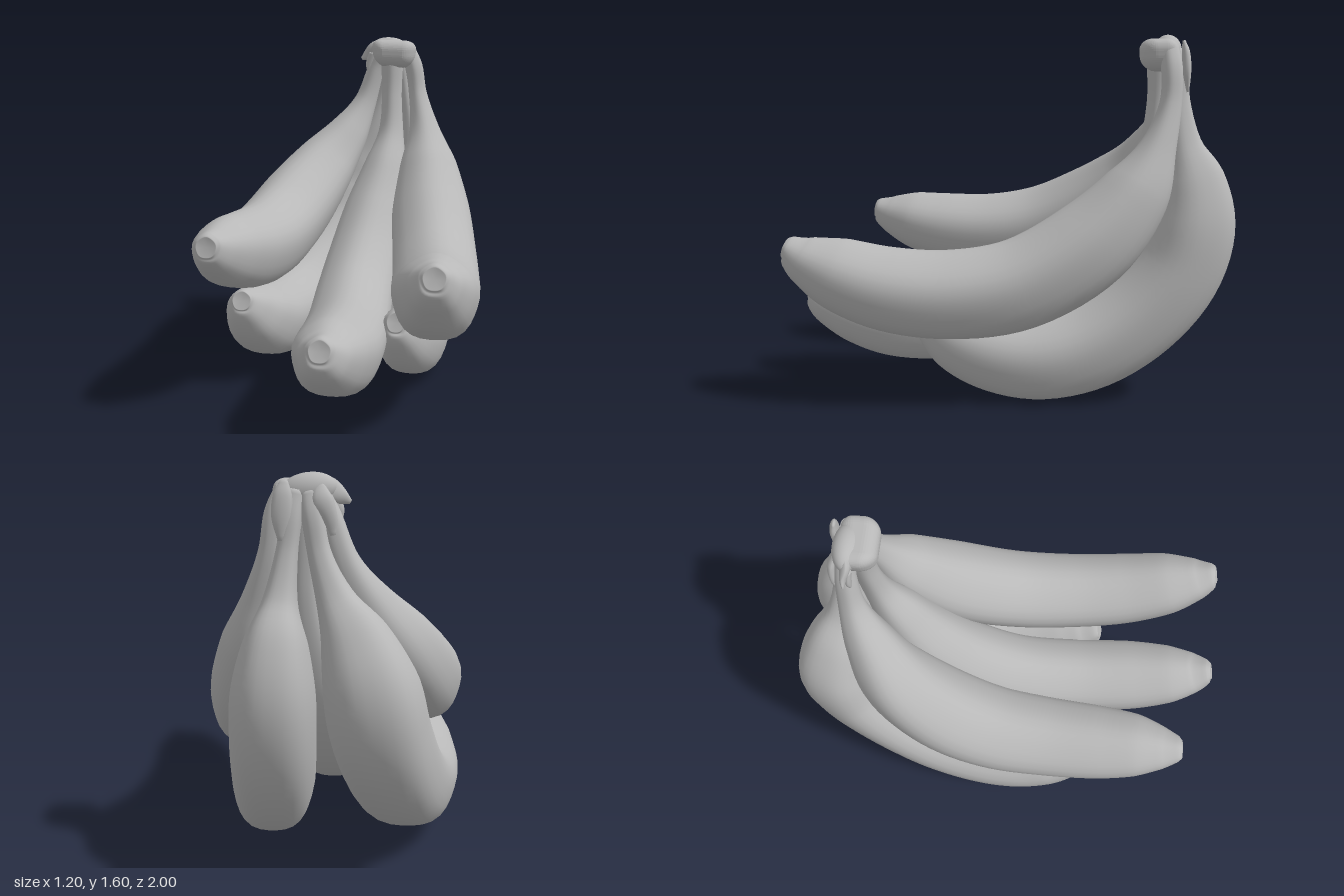
import * as THREE from 'three';
import { RoundedBoxGeometry } from 'three/addons/geometries/RoundedBoxGeometry.js';

// Tube through stations [x, y, z, radius], with a softly five-sided section.
function loft(stations, { rings = 72, sides = 30, ridge = 0.025, dent = 0, wide = 1, flat = 1 } = {}) {
  const path = new THREE.CatmullRomCurve3(stations.map(s => new THREE.Vector3(s[0], s[1], s[2])));
  const radii = new THREE.CatmullRomCurve3(stations.map((s, i) => new THREE.Vector3(s[3], i * 0.15, 0)));
  const pos = [], index = [];
  const xAxis = new THREE.Vector3(1, 0, 0);
  for (let i = 0; i <= rings; i++) {
    const t = i / rings;
    const c = path.getPoint(t), T = path.getTangent(t);
    const side = xAxis.clone().addScaledVector(T, -T.x).normalize();
    const up = T.clone().cross(side);
    const r = radii.getPoint(t).x;
    for (let j = 0; j < sides; j++) {
      const a = (j / sides) * Math.PI * 2;
      const k = r * (1 + ridge * Math.cos(5 * (a + Math.PI / 2)));
      const p = c.clone().addScaledVector(side, Math.cos(a) * k * wide).addScaledVector(up, Math.sin(a) * k * flat);
      pos.push(p.x, p.y, p.z);
    }
  }
  for (let i = 0; i < rings; i++) {
    for (let j = 0; j < sides; j++) {
      const n = (j + 1) % sides;
      const a = i * sides + j, b = i * sides + n;
      index.push(a, b, a + sides, b, b + sides, a + sides);
    }
  }
  // end caps, the first one slightly dented
  const start = path.getPoint(0).addScaledVector(path.getTangent(0), dent);
  const end = path.getPoint(1);
  pos.push(start.x, start.y, start.z, end.x, end.y, end.z);
  const s = (rings + 1) * sides, last = rings * sides;
  for (let j = 0; j < sides; j++) {
    const n = (j + 1) % sides;
    index.push(s, n, j, s + 1, last + j, last + n);
  }
  const g = new THREE.BufferGeometry();
  g.setAttribute('position', new THREE.Float32BufferAttribute(pos, 3));
  g.setIndex(index);
  g.computeVertexNormals();
  return g;
}

// Each fruit from blossom tip to stem
const fruits = {
  upperLeftBanana: [
    [0.45, 0.69, 0.96, 0.04], [0.45, 0.685, 0.945, 0.06], [0.445, 0.645, 0.88, 0.102], [0.435, 0.582, 0.74, 0.154],
    [0.42, 0.512, 0.52, 0.18], [0.40, 0.488, 0.25, 0.19], [0.37, 0.535, -0.05, 0.196], [0.325, 0.71, -0.35, 0.192],
    [0.29, 0.93, -0.54, 0.147], [0.26, 1.12, -0.63, 0.078], [0.22, 1.3, -0.68, 0.048], [0.195, 1.45, -0.685, 0.046],
    [0.16, 1.54, -0.675, 0.04]],
  upperRightBanana: [
    [-0.455, 0.735, 0.785, 0.04], [-0.455, 0.733, 0.77, 0.058], [-0.45, 0.71, 0.7, 0.098], [-0.44, 0.682, 0.58, 0.144],
    [-0.43, 0.65, 0.4, 0.17], [-0.415, 0.638, 0.15, 0.184], [-0.395, 0.675, -0.1, 0.193], [-0.345, 0.775, -0.33, 0.192],
    [-0.26, 0.92, -0.52, 0.165], [-0.15, 1.09, -0.63, 0.11], [-0.065, 1.26, -0.685, 0.06], [-0.01, 1.43, -0.69, 0.045],
    [0.03, 1.53, -0.68, 0.04]],
  middleBanana: [
    [0.04, 0.41, 0.99, 0.04], [0.04, 0.405, 0.975, 0.06], [0.04, 0.365, 0.91, 0.105], [0.035, 0.325, 0.79, 0.15],
    [0.03, 0.278, 0.58, 0.18], [0.015, 0.275, 0.3, 0.184], [-0.005, 0.35, 0.0, 0.183], [0.005, 0.5, -0.25, 0.178],
    [0.03, 0.7, -0.43, 0.158], [0.065, 0.92, -0.545, 0.112], [0.085, 1.1, -0.615, 0.066], [0.085, 1.3, -0.64, 0.052],
    [0.085, 1.5, -0.645, 0.06]],
  lowerLeftBanana: [
    [0.245, 0.36, 0.415, 0.04], [0.245, 0.355, 0.4, 0.056], [0.255, 0.315, 0.35, 0.1], [0.27, 0.255, 0.25, 0.145],
    [0.28, 0.2, 0.09, 0.172], [0.275, 0.18, -0.12, 0.188], [0.255, 0.234, -0.35, 0.194], [0.232, 0.375, -0.57, 0.194],
    [0.217, 0.57, -0.73, 0.19], [0.208, 0.78, -0.795, 0.18], [0.195, 0.97, -0.79, 0.138], [0.18, 1.12, -0.75, 0.076],
    [0.155, 1.3, -0.725, 0.048], [0.135, 1.44, -0.715, 0.045], [0.115, 1.53, -0.695, 0.04]],
  lowerRightBanana: [
    [-0.45, 0.41, 0.365, 0.04], [-0.45, 0.405, 0.35, 0.055], [-0.443, 0.37, 0.3, 0.1], [-0.43, 0.31, 0.21, 0.146],
    [-0.412, 0.25, 0.06, 0.178], [-0.392, 0.235, -0.13, 0.188], [-0.342, 0.275, -0.37, 0.194], [-0.27, 0.405, -0.6, 0.197],
    [-0.205, 0.6, -0.765, 0.196], [-0.165, 0.8, -0.82, 0.185], [-0.105, 0.98, -0.795, 0.138], [-0.03, 1.13, -0.75, 0.076],
    [0.03, 1.3, -0.725, 0.047], [0.055, 1.44, -0.715, 0.045], [0.07, 1.53, -0.695, 0.04]],
};
const narrower = { lowerLeftBanana: 0.9 };

// Torn skin flaps around the crown
const flaps = {
  sideFlap: [[-0.085, 1.49, -0.68, 0.008], [-0.05, 1.51, -0.68, 0.03], [0.0, 1.54, -0.67, 0.045], [0.06, 1.555, -0.67, 0.03]],
  backFlapLeft: [[0.16, 1.57, -0.735, 0.014], [0.165, 1.52, -0.745, 0.035], [0.17, 1.44, -0.75, 0.038], [0.17, 1.35, -0.755, 0.014]],
  backFlapRight: [[0.03, 1.56, -0.715, 0.015], [0.02, 1.5, -0.735, 0.04], [-0.01, 1.43, -0.74, 0.028], [-0.02, 1.37, -0.74, 0.01]],
  rightFlap: [[-0.02, 1.52, -0.66, 0.02], [-0.035, 1.46, -0.67, 0.026], [-0.035, 1.4, -0.665, 0.01]],
};

export function createModel() {
  const group = new THREE.Group();
  const grey = new THREE.MeshStandardMaterial({ color: 0xb8b8b8 });
  grey.name = 'plain grey';
  const add = (name, geometry) => {
    const mesh = new THREE.Mesh(geometry, grey);
    mesh.name = name;
    group.add(mesh);
  };

  for (const [name, stations] of Object.entries(fruits)) {
    add(name, loft(stations, { dent: 0.012, wide: narrower[name] ?? 1 }));
  }
  for (const [name, stations] of Object.entries(flaps)) {
    add(name, loft(stations, { rings: 14, sides: 12, ridge: 0, flat: 0.5 }));
  }

  // Cut crown joining the stems: narrower below, bowed at the front, lower at the left
  const crown = new RoundedBoxGeometry(0.225, 0.14, 0.16, 6, 0.06);
  const p = crown.attributes.position;
  for (let i = 0; i < p.count; i++) {
    const x = p.getX(i), y = p.getY(i), z = p.getZ(i);
    const taper = 1 + y * 1.2;
    p.setXYZ(i, x * taper, y - 0.012 * Math.cos(x * 14) - 0.06 * x, z * taper + 0.015 * Math.cos(x * 13));
  }
  crown.translate(0.095, 1.522, -0.645);
  crown.computeVertexNormals();
  add('crown', crown);

  // Rounded top of the crown, sloping down to the back
  const dome = new THREE.SphereGeometry(1, 24, 16);
  dome.scale(0.11, 0.065, 0.06);
  dome.rotateZ(-0.15);
  dome.translate(0.075, 1.535, -0.675);
  add('crownDome', dome);
  return group;
}
